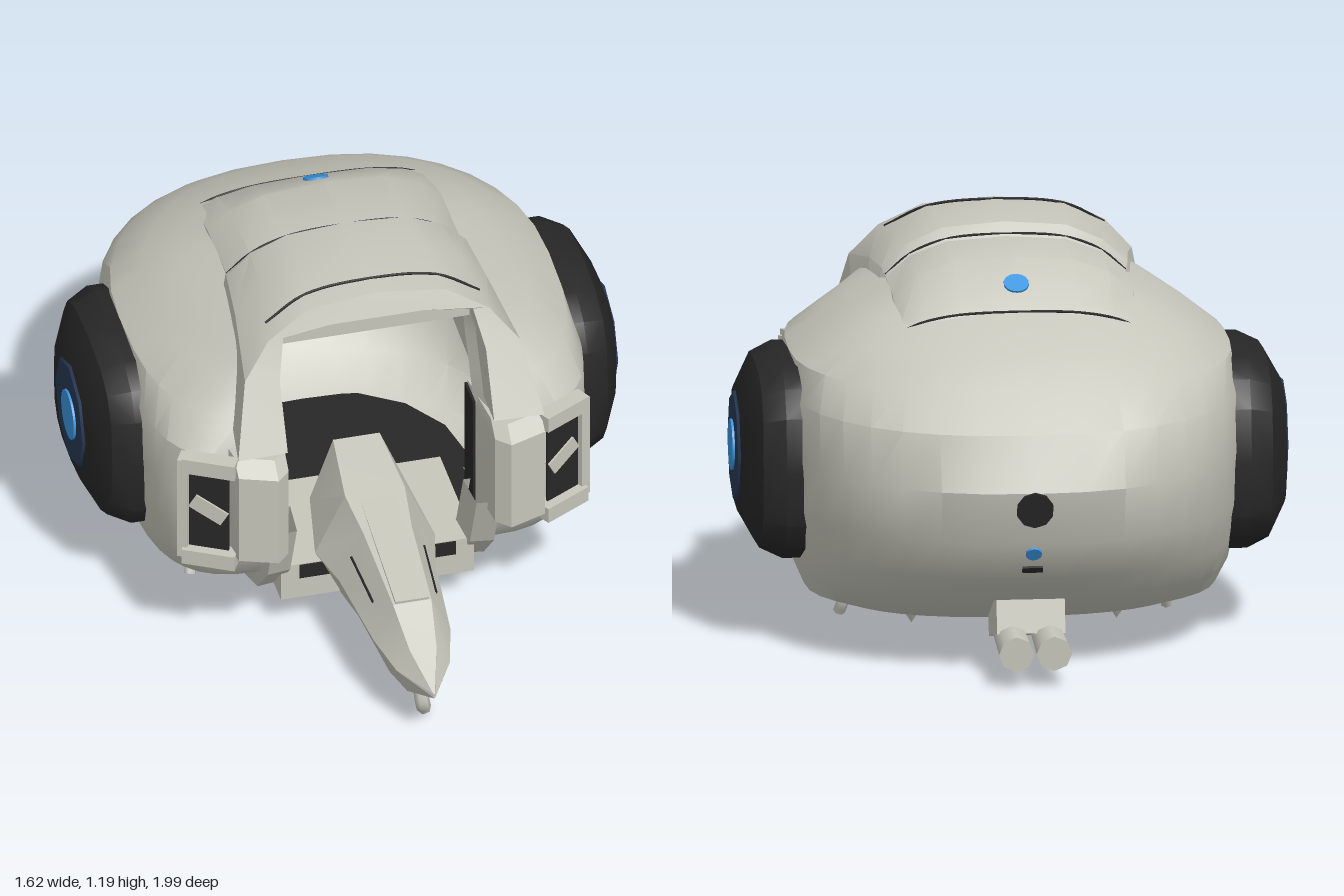
import * as THREE from 'three';
import { toCreasedNormals } from 'three/addons/utils/BufferGeometryUtils.js';

const mat = (name, color) => new THREE.MeshStandardMaterial({ name, color, side: THREE.DoubleSide });

// Skin between rows of points; every row has the same number of points
function loft(rows, closed = false, crease = 0.5) {
  const n = rows[0].length, idx = [];
  for (let r = 0; r < rows.length - 1; r++) {
    for (let i = 0; i < (closed ? n : n - 1); i++) {
      const j = (i + 1) % n, a = r * n, b = a + n;
      idx.push(a + i, a + j, b + j, a + i, b + j, b + i);
    }
  }
  const g = new THREE.BufferGeometry();
  g.setAttribute('position', new THREE.Float32BufferAttribute(rows.flat(2), 3));
  g.setIndex(idx);
  return toCreasedNormals(g, crease);
}

// Horizontal C-shaped outline, from the left front edge round the back to the right
function cOutline(y, w, back, front, gap, frontPower) {
  const half = [], zc = -0.18, N = 9, p = (v, e) => Math.pow(Math.max(v, 0), e);
  for (let i = 0; i <= N; i++) {
    const a = (1 - i / N) * Math.PI / 2;
    half.push([gap + (w - gap) * p(Math.cos(a), frontPower), y, zc + (front - zc) * p(Math.sin(a), frontPower)]);
  }
  for (let i = 1; i <= N; i++) {
    const a = i / N * Math.PI / 2;
    half.push([w * p(Math.cos(a), 0.85), y, zc + (back - zc) * p(Math.sin(a), 0.87)]);
  }
  return [...half, ...half.slice(0, -1).reverse().map(([x, yy, z]) => [-x, yy, z])];
}

// Arch across the head, optionally leaning forward towards its feet
function arch(hw, base, top, z, lean = 0, square = false) {
  const f = square ? [[1, 0], [1, 0.6], [0.92, 0.95], [0.45, 1], [0, 1]]
    : [[1, 0], [0.9, 0.53], [0.72, 0.78], [0.45, 0.95], [0, 1]];
  const half = f.map(([u, v]) => {
    const y = base + (top - base) * v;
    return [hw * u, y, z + lean * (top - y)];
  });
  return [...half, ...half.slice(0, -1).reverse().map(([x, y, zz]) => [-x, y, zz])];
}

export function createModel() {
  const model = new THREE.Group();
  model.name = 'helmet';
  const shellMat = mat('shell grey', 0xc6c6bb), dark = mat('charcoal', 0x272727);
  const navy = mat('navy', 0x273855), blue = mat('bright blue', 0x3c96de);
  const add = (name, geo, m, pos = [0, 0, 0], rot = [0, 0, 0], parent = model) => {
    const mesh = new THREE.Mesh(geo, m);
    mesh.name = name;
    mesh.position.set(...pos);
    mesh.rotation.set(...rot);
    parent.add(mesh);
    return mesh;
  };
  const box = (x, y, z) => new THREE.BoxGeometry(x, y, z);
  const tube = (pts, r, seg = 12) => new THREE.TubeGeometry(
    new THREE.CatmullRomCurve3(pts.map((q) => new THREE.Vector3(...q)), false, 'centripetal'), seg, r, 6);

  // Main shell with lining: height, half width, back, front, front roundness
  const levels = [
    [0.10, 0.49, -0.50, 0.12, 0.7], [0.14, 0.60, -0.62, 0.20, 0.7], [0.22, 0.635, -0.78, 0.31, 0.65],
    [0.30, 0.65, -0.87, 0.37, 0.6], [0.42, 0.665, -0.95, 0.42, 0.55], [0.58, 0.67, -0.98, 0.43, 0.52],
    [0.74, 0.67, -0.92, 0.42, 0.54], [0.84, 0.645, -0.80, 0.37, 0.7], [0.92, 0.55, -0.69, 0.32, 0.83],
    [0.98, 0.45, -0.56, 0.30, 0.83], [1.03, 0.34, -0.44, 0.26, 0.83],
  ];
  const outer = ([y, w, b, f, e]) => cOutline(y, w, b, f, Math.min(0.32, w - 0.04), e);
  const inner = ([y, w, b, f, e]) => cOutline(y, Math.max(w - 0.1, 0.3), b + 0.1, f - 0.1, 0.29, e);
  add('shell', loft(levels.map((l) => [...outer(l), ...inner(l).reverse()]), true), shellMat);
  add('neckRim', loft([outer(levels[0]), inner([0.1, 0.4, -0.5, 0.12, 0.7])]), shellMat);
  add('neckSeal', new THREE.CylinderGeometry(0.4, 0.4, 0.008, 16), dark, [0, 0.15, -0.17]);
  add('liningSeam', tube(inner([0.88, 0.6, -0.75, 0.345, 0.8]).filter((q) => q[2] < -0.4), 0.007, 24), dark);

  // Raised crest, brow arch and its lining
  add('crestAndBrow', loft([
    arch(0.38, 0.90, 0.97, -0.53), arch(0.385, 0.90, 1.03, -0.47), arch(0.39, 0.90, 1.13, -0.30),
    arch(0.39, 0.90, 1.14, -0.08), arch(0.40, 0.90, 1.175, -0.04), arch(0.42, 0.86, 1.19, 0.12, 0.1),
    arch(0.46, 0.78, 1.17, 0.30, 0.5), arch(0.31, 0.78, 1.10, 0.33, 0.5, true),
    arch(0.31, 0.78, 1.08, 0.20, 0.5, true), arch(0.30, 0.85, 1.00, -0.38, 0, true),
  ]), shellMat);
  add('browBar', box(0.56, 0.05, 0.05), shellMat, [0, 1.07, 0.29]);
  const seams = [arch(0.39, 0.90, 1.145, -0.07).slice(1, -1), arch(0.385, 0.90, 1.01, -0.49).slice(1, -1),
    arch(0.447, 0.807, 1.177, 0.24, 0.37).slice(2, -2)];
  for (const s of seams) add('crestSeam', tube(s, 0.004, 24), dark);
  add('crestLamp', new THREE.CylinderGeometry(0.037, 0.037, 0.009, 14), blue, [0, 1.073, -0.4], [-0.53, 0, 0]);

  // Ear pads: stacked rounded octagons, with round lamps
  const ring = (x, s) => Array.from({ length: 16 }, (_, i) => {
    const a = i / 16 * Math.PI * 2, c = Math.cos(a), d = Math.sin(a);
    return [x, 0.54 + 0.3 * s * Math.sign(d) * Math.abs(d) ** 0.65,
      -0.17 + 0.33 * s * Math.sign(c) * Math.abs(c) ** 0.65];
  });
  for (const s of [1, -1]) {
    const side = new THREE.Group();
    side.name = s > 0 ? 'leftSide' : 'rightSide';
    model.add(side);
    const put = (name, geo, m, pos, rot) => add(name, geo, m, pos, rot, side);
    put('earPad', loft([ring(s * 0.58, 1), ring(s * 0.68, 1), ring(s * 0.745, 0.9),
      ring(s * 0.795, 0.6), ring(s * 0.8, 0.01)], true, 0.6), dark);
    const lampRot = [0, 0, -s * Math.PI / 2];
    put('lampSurround', new THREE.CylinderGeometry(0.16, 0.165, 0.008, 8), navy, [s * 0.801, 0.55, -0.15], lampRot);
    put('lamp', new THREE.CylinderGeometry(0.075, 0.075, 0.008, 20), blue, [s * 0.808, 0.55, -0.14], lampRot);

    // Cheek post standing in front of the vent
    const plan = [[0.29, 0.3], [0.31, 0.5], [0.35, 0.54], [0.46, 0.5], [0.475, 0.38]];
    const level = (y, k) => plan.map(([x, z]) => [s * x, y, z - k]);
    const post = [level(0.4, 0.1), level(0.42, 0), level(0.72, 0), level(0.76, 0.05)];
    put('cheekPost', loft([plan.map(() => [s * 0.38, 0.4, 0.35]), ...post,
      plan.map(() => [s * 0.38, 0.76, 0.35])], true, 0.3), shellMat);

    // Recessed cheek vent, its frame and a thin middle bar
    const turn = [0, s * 0.5, 0];
    put('cheekVent', box(0.12, 0.29, 0.008), dark, [s * 0.53, 0.57, 0.425], turn);
    for (const y of [0.735, 0.405]) put('ventFrame', box(0.16, 0.05, 0.05), shellMat, [s * 0.53, y, 0.435], turn);
    put('ventBar', box(0.11, 0.05, 0.02), shellMat, [s * 0.53, 0.57, 0.425], [0, s * 0.5, s * 0.5]);
    put('ventEdge', box(0.03, 0.35, 0.05), shellMat, [s * 0.595, 0.57, 0.385], turn);

    // Jaw post beside the opening, with the dark edge of the lining
    put('jawPost', loft([[0.12, 0.24], [0.25, 0.36], [0.45, 0.44]].map(([y, z]) =>
      [[0.26, z - 0.12], [0.27, z], [0.34, z + 0.01], [0.38, z - 0.12]].map(([x, zz]) => [s * x, y, zz])), true, 0.2), shellMat);
    put('liningEdge', box(0.008, 0.42, 0.1), dark, [s * 0.286, 0.54, 0.3]);

    // Chin slots, beak grooves, lower hooks and rear canisters
    put('chinSlot', box(0.09, 0.045, 0.008), dark, [s * 0.19, 0.215, 0.332]);
    put('beakGroove', tube([[s * 0.109, 0.331, 0.45], [s * 0.095, 0.311, 0.65]], 0.004, 1), dark);
    put('jawHook', tube([[s * 0.46, 0.12, 0], [s * 0.47, 0.05, -0.02], [s * 0.48, 0.01, 0]], 0.018), shellMat);
    put('lowerClip', new THREE.ConeGeometry(0.04, 0.06, 5), shellMat, [s * 0.3, 0.08, -0.33], [Math.PI, 0, 0]);
    put('rearCanister', new THREE.CylinderGeometry(0.045, 0.052, 0.35, 8), shellMat,
      [s * 0.055, 0.11, -0.815], [Math.PI / 2 - 0.04, 0, 0]);
  }

  // Chin and beak
  add('chin', box(0.58, 0.12, 0.4), shellMat, [0, 0.18, 0.13]);
  const beakRow = ([z, w, low, mid, top]) => [[0.5, top], [1, mid], [0.6, low], [-0.6, low], [-1, mid], [-0.5, top]]
    .map(([u, y]) => [w * u, y, z]);
  add('beak', loft([
    [0.08, 0.14, 0.12, 0.28, 0.48], [0.30, 0.18, 0.10, 0.25, 0.44], [0.45, 0.145, 0.11, 0.25, 0.41],
    [0.74, 0.115, 0.12, 0.24, 0.36], [0.87, 0.08, 0.14, 0.22, 0.285], [1.0, 0.004, 0.2, 0.205, 0.215],
  ].map(beakRow), true, 0.25), shellMat);
  add('beakRidge', box(0.1, 0.02, 0.42), shellMat, [0, 0.392, 0.53], [0.16, 0, 0]);
  add('beakHook', tube([[0, 0.14, 0.82], [0.005, 0.07, 0.84], [0.015, 0.03, 0.82]], 0.022), shellMat);

  // Underside plate and rear details
  add('bottomPlate', new THREE.CylinderGeometry(0.11, 0.06, 0.05, 8), shellMat, [0, 0.065, -0.18]);
  add('bottomBar', box(0.14, 0.03, 0.5), shellMat, [0, 0.095, -0.25]);
  add('canisterBracket', box(0.2, 0.1, 0.26), shellMat, [0, 0.15, -0.72], [0.25, 0, 0]);
  add('rearPort', new THREE.CylinderGeometry(0.055, 0.055, 0.009, 10), dark, [0, 0.53, -0.976], [Math.PI / 2 - 0.2, 0, 0]);
  add('rearLamp', new THREE.CylinderGeometry(0.024, 0.024, 0.009, 10), blue, [0, 0.39, -0.933], [Math.PI / 2 - 0.59, 0, 0]);
  add('rearSlot', box(0.06, 0.02, 0.008), dark, [0, 0.335, -0.898], [-0.59, 0, 0]);
  return model;
}
